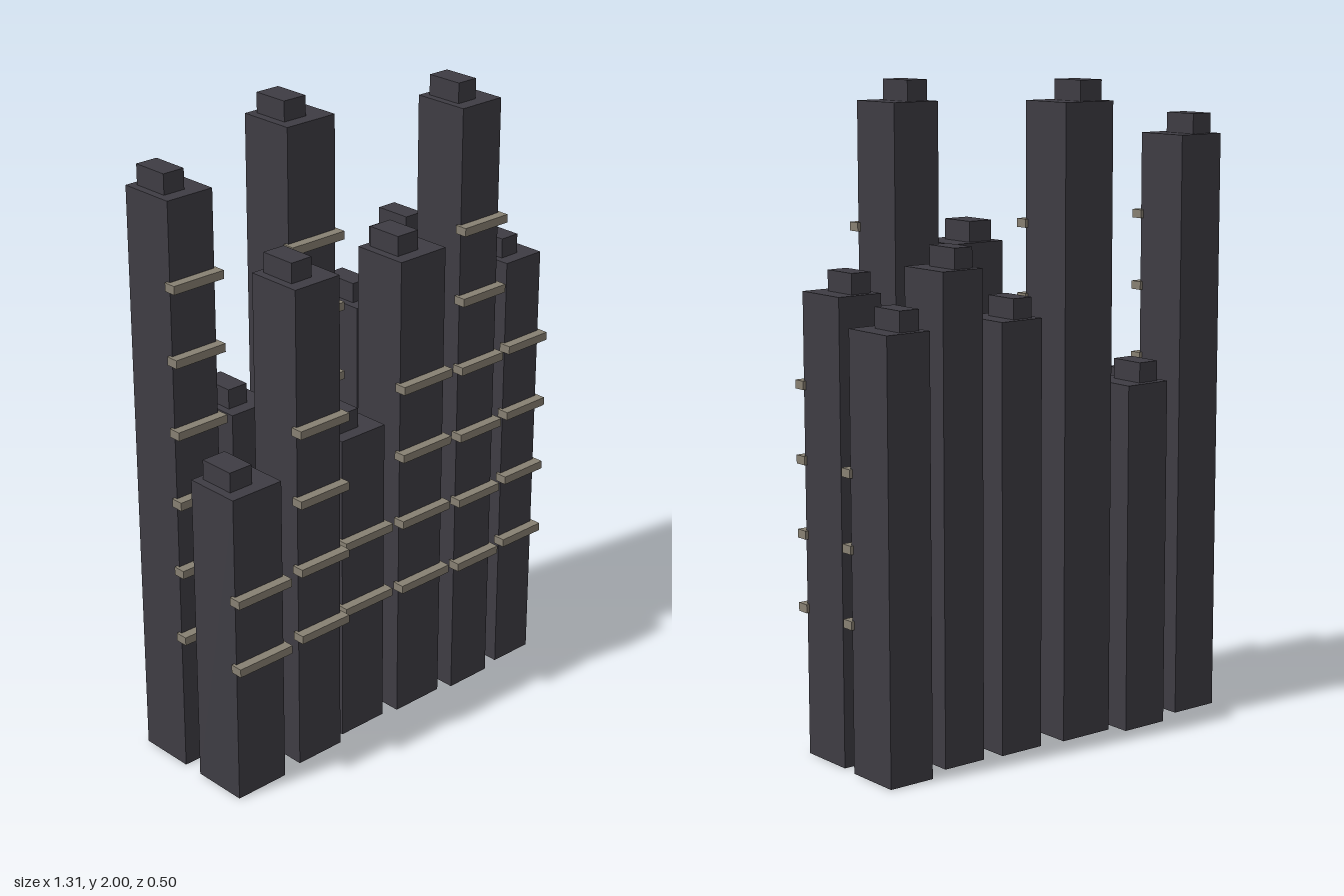
import * as THREE from 'three';

export function createModel() {
  const model = new THREE.Group();
  model.name = 'towerCluster';

  const slate = new THREE.MeshStandardMaterial({ color: 0x3e3c43 });
  slate.name = 'dark slate';
  const stone = new THREE.MeshStandardMaterial({ color: 0x878072 });
  stone.name = 'grey stone';

  const DEPTH = 0.182, CAP_HEIGHT = 0.062;
  const BAND_START = 0.45, BAND_STEP = 0.224, BAND_CLEARANCE = 0.23;

  // Adds a box whose base sits at height y
  function box(parent, name, material, w, h, d, x, y, z) {
    const mesh = new THREE.Mesh(new THREE.BoxGeometry(w, h, d), material);
    mesh.name = name;
    mesh.position.set(x, y + h / 2, z);
    parent.add(mesh);
  }

  // One tower: shaft, off-centre roof block, and ledges across its front
  function addTower(name, x0, x1, front, height) {
    const tower = new THREE.Group();
    tower.name = name;
    const w = x1 - x0;
    tower.position.set((x0 + x1) / 2, 0, front - DEPTH / 2);
    box(tower, 'shaft', slate, w, height, DEPTH, 0, 0, 0);
    box(tower, 'roofBlock', slate, w * 0.45, CAP_HEIGHT, DEPTH * 0.65, -w * 0.125, height, -0.011);
    for (let y = BAND_START; y < height - BAND_CLEARANCE; y += BAND_STEP) {
      box(tower, 'ledge', stone, w + 0.02, 0.026, 0.04, 0, y - 0.013, DEPTH / 2 + 0.01);
    }
    model.add(tower);
  }

  // Each row: left edge x, right edge x, front face z, shaft height
  const frontRow = [
    [-0.646, -0.464, 0.219, 0.997],
    [-0.388, -0.219, 0.202, 1.557],
    [-0.183, -0.01, 0.173, 1.012],
    [0.04, 0.222, 0.187, 1.52],
    [0.266, 0.424, 0.205, 1.94],
    [0.487, 0.636, 0.19, 1.398],
  ];
  const backRow = [
    [-0.646, -0.485, -0.03, 1.822],
    [-0.397, -0.24, -0.07, 1.082],
    [-0.209, -0.026, -0.025, 1.935],
    [0.056, 0.206, -0.016, 1.31],
    [0.269, 0.413, -0.006, 1.472],
    [0.492, 0.642, -0.048, 1.316],
  ];
  frontRow.forEach((t, i) => addTower(`frontTower${i + 1}`, ...t));
  backRow.forEach((t, i) => addTower(`backTower${i + 1}`, ...t));

  return model;
}
